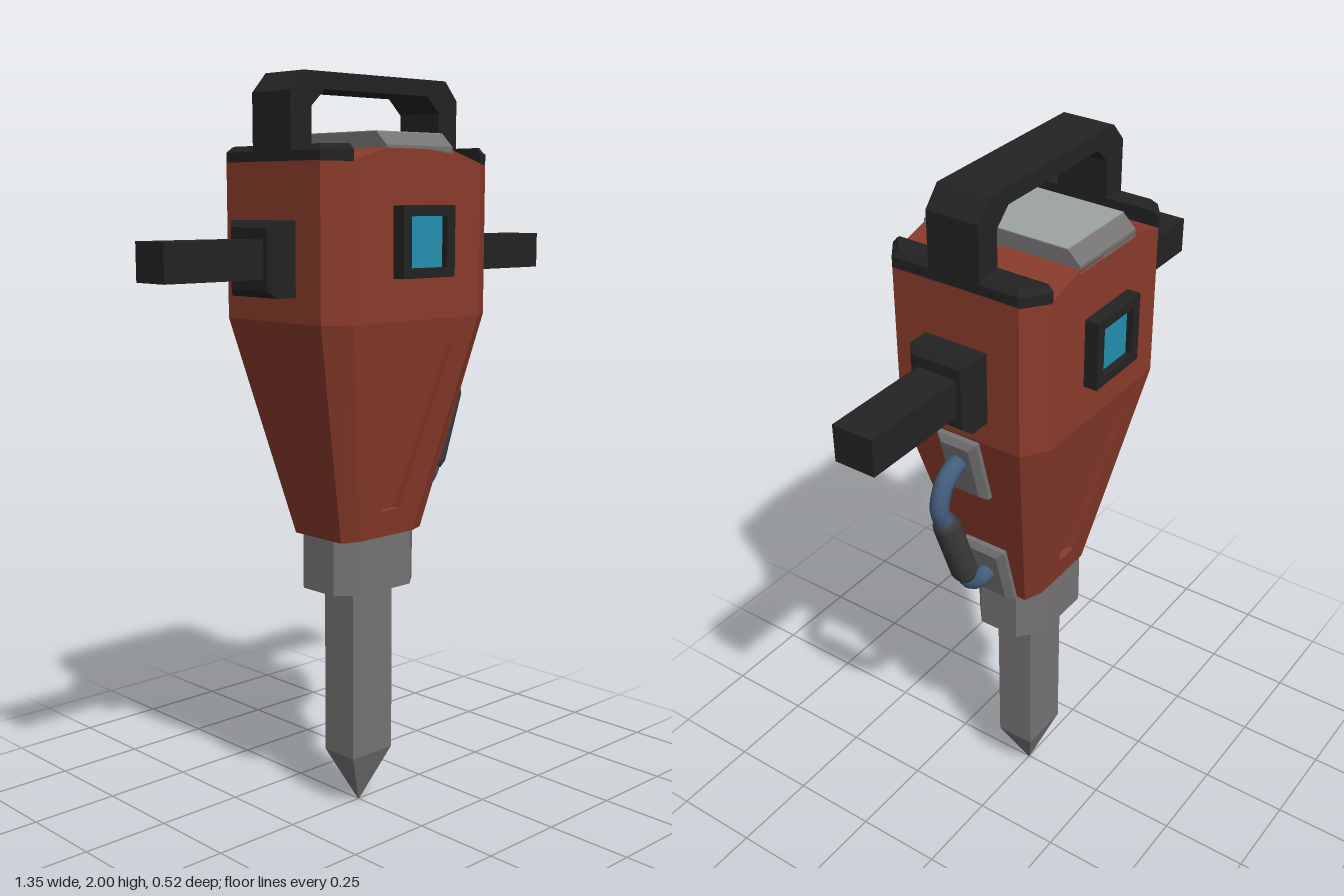
import * as THREE from 'three';

const mat = (name, color) => {
  const m = new THREE.MeshStandardMaterial({ color });
  m.name = name;
  return m;
};

// Non-indexed flat geometry from convex polygons
function fromFaces(faces) {
  const pos = [];
  for (const f of faces)
    for (let i = 1; i < f.length - 1; i++) pos.push(...f[0], ...f[i], ...f[i + 1]);
  const g = new THREE.BufferGeometry();
  g.setAttribute('position', new THREE.Float32BufferAttribute(pos, 3));
  g.computeVertexNormals();
  return g;
}

// Cross-sections at height y: rectangle, and rectangle with cut corners
const rect = (y, a, b) => [[a, y, b], [a, y, -b], [-a, y, -b], [-a, y, b]];
const oct = (y, a, b, c, d) => [
  [a, y, -d], [c, y, -b], [-c, y, -b], [-a, y, -d],
  [-a, y, d], [-c, y, b], [c, y, b], [a, y, d],
];

// Join rings from bottom to top; skip(ring, side) leaves an opening
function loft(rings, skip = () => false) {
  const faces = [[...rings[0]].reverse(), rings[rings.length - 1]];
  for (let r = 0; r < rings.length - 1; r++) {
    const lo = rings[r], hi = rings[r + 1], n = lo.length;
    for (let i = 0; i < n; i++) {
      const j = (i + 1) % n;
      if (!skip(r, i)) faces.push([lo[i], lo[j], hi[j], hi[i]]);
    }
  }
  return fromFaces(faces);
}

function polygon(points) {
  return new THREE.Shape(points.map(([x, y]) => new THREE.Vector2(x, y)));
}

function extrude(shape, depth, z) {
  const g = new THREE.ExtrudeGeometry(shape, { depth, bevelEnabled: false });
  return g.translate(0, 0, z);
}

// Sloping housing face with a sunken tapered panel
function recessedFace() {
  const at = (x, y, sink = 0) => [x, y, 0.11 + ((y - 0.79) / 0.59) * 0.115 - sink];
  const outer = [[-0.1, 0.79], [0.1, 0.79], [0.23, 1.38], [-0.23, 1.38]];
  const hole = [[-0.033, 0.865], [0.033, 0.865], [0.145, 1.31], [-0.145, 1.31]];
  const o = outer.map(([x, y]) => at(x, y));
  const h = hole.map(([x, y]) => at(x, y));
  const f = hole.map(([x, y]) => at(x, y, 0.02));
  const faces = [f];
  for (let i = 0; i < 4; i++) {
    const j = (i + 1) % 4;
    faces.push([o[i], o[j], h[j], h[i]], [h[i], h[j], f[j], f[i]]);
  }
  return fromFaces(faces);
}

export function createModel() {
  const red = mat('red paint', 0x8a3b2b);
  const black = mat('black rubber', 0x232323);
  const steel = mat('steel', 0x757373);
  const lightSteel = mat('light steel', 0x9da2a2);
  const glass = mat('blue glass', 0x2490b0);
  const blue = mat('blue hose', 0x445d7c);
  const sleeveGrey = mat('dark grey sleeve', 0x3d3d3d);

  const model = new THREE.Group();
  model.name = 'jackhammer';
  const add = (name, geometry, material) => {
    const m = new THREE.Mesh(geometry, material);
    m.name = name;
    model.add(m);
    return m;
  };

  // Chisel and collar
  add('chisel', loft([rect(0, 0.001, 0.001), rect(0.155, 0.075, 0.056), rect(0.66, 0.075, 0.056)]), steel);
  add('collar', loft([oct(0.64, 0.15, 0.11, 0.09, 0.06), oct(0.79, 0.15, 0.11, 0.09, 0.06)]), steel);

  // Housing, open where the sunken panels go
  add('housing', loft([
    oct(0.79, 0.15, 0.11, 0.1, 0.09),
    oct(1.38, 0.3, 0.225, 0.23, 0.18),
    oct(1.78, 0.3, 0.225, 0.23, 0.18),
  ], (r, i) => r === 0 && (i === 1 || i === 5)), red);
  add('roof', extrude(polygon([[-0.23, 1.775], [0.23, 1.775], [0.23, 1.78], [0.12, 1.812], [-0.12, 1.812], [-0.23, 1.78]]), 0.45, -0.225), red);

  // Steel lid with sloping ends
  add('lid', loft([rect(1.8, 0.12, 0.225), rect(1.82, 0.12, 0.225), rect(1.853, 0.12, 0.19)]), steel);
  add('lidPlate', new THREE.BoxGeometry(0.24, 0.003, 0.38).translate(0, 1.8535, 0), lightSteel);

  // Carrying handle
  add('topHandle', extrude(polygon([
    [-0.3, 1.78], [-0.3, 1.95], [-0.255, 2], [0.255, 2], [0.3, 1.95], [0.3, 1.78],
    [0.23, 1.78], [0.23, 1.915], [0.185, 1.957], [-0.185, 1.957], [-0.23, 1.915], [-0.23, 1.78],
  ]), 0.145, -0.0725), black);

  // Front and back: sunken panel and display
  for (const [side, turn] of [['front', 0], ['back', Math.PI]]) {
    add(side + 'Panel', recessedFace(), red).rotation.y = turn;
    const frame = polygon([[-0.094, 1.49], [0.094, 1.49], [0.094, 1.672], [-0.094, 1.672]]);
    frame.holes.push(new THREE.Path([[-0.065, 1.515], [-0.065, 1.645], [0.065, 1.645], [0.065, 1.515]]
      .map(([x, y]) => new THREE.Vector2(x, y))));
    add(side + 'DisplayFrame', extrude(frame, 0.04, 0.222), black).rotation.y = turn;
    const screen = new THREE.BoxGeometry(0.13, 0.13, 0.008).translate(0, 1.58, 0.24);
    add(side + 'Screen', screen, glass).rotation.y = turn;
  }

  // Left and right: shoulder cap, grip mount and grip
  for (const s of [1, -1]) {
    const side = s > 0 ? 'left' : 'right';
    const capRing = (y, k) => [
      [0.3 - k, y, 0.18 - k], [0.3 - k, y, -0.18 + k], [0.24, y, -0.225 + k],
      [0.23, y, -0.225 + k], [0.23, y, 0.225 - k], [0.24, y, 0.225 - k],
    ];
    add(side + 'ShoulderCap', loft([capRing(1.778, 0), capRing(1.805, 0), capRing(1.82, 0.013)]), black)
      .rotation.y = s > 0 ? 0 : Math.PI;

    const mount = add(side + 'GripMount', loft([
      rect(0.29, 0.095, 0.088), rect(0.36, 0.095, 0.088), rect(0.377, 0.078, 0.07),
    ]), black);
    mount.position.y = 1.54;
    mount.rotation.z = -s * Math.PI / 2;

    add(side + 'Grip', new THREE.BoxGeometry(0.31, 0.098, 0.112).translate(s * 0.522, 1.54, 0), black);
  }

  // Hose plates lying on the sloping left side
  for (const [name, x, y, w] of [['upperHosePlate', 0.275, 1.28, 0.06], ['lowerHosePlate', 0.174, 0.885, 0.064]]) {
    const plate = add(name, loft([rect(-0.005, 0.098, w), rect(0.012, 0.098, w), rect(0.026, 0.082, w - 0.02)]), steel);
    plate.position.set(x, y, 0);
    plate.rotation.z = -Math.PI / 2 - 0.249;
  }

  // Hose ends
  const hose = (name, pts) => {
    const curve = new THREE.CatmullRomCurve3(pts.map(([x, y]) => new THREE.Vector3(x, y, 0)));
    add(name, new THREE.TubeGeometry(curve, 20, 0.025, 12), blue);
  };
  hose('upperHose', [[0.27, 1.285], [0.315, 1.298], [0.365, 1.268], [0.388, 1.205], [0.368, 1.145]]);
  hose('lowerHose', [[0.296, 0.955], [0.28, 0.912], [0.24, 0.884], [0.175, 0.885]]);

  // Sleeve with tapered ends between the hose ends
  const sleeve = add('hoseSleeve', new THREE.LatheGeometry(
    [[0, -0.122], [0.027, -0.122], [0.036, -0.1], [0.036, 0.1], [0.027, 0.122], [0, 0.122]]
      .map(([x, y]) => new THREE.Vector2(x, y)), 12), sleeveGrey);
  sleeve.position.set(0.331, 1.048, 0);
  sleeve.rotation.z = -0.335;

  return model;
}
